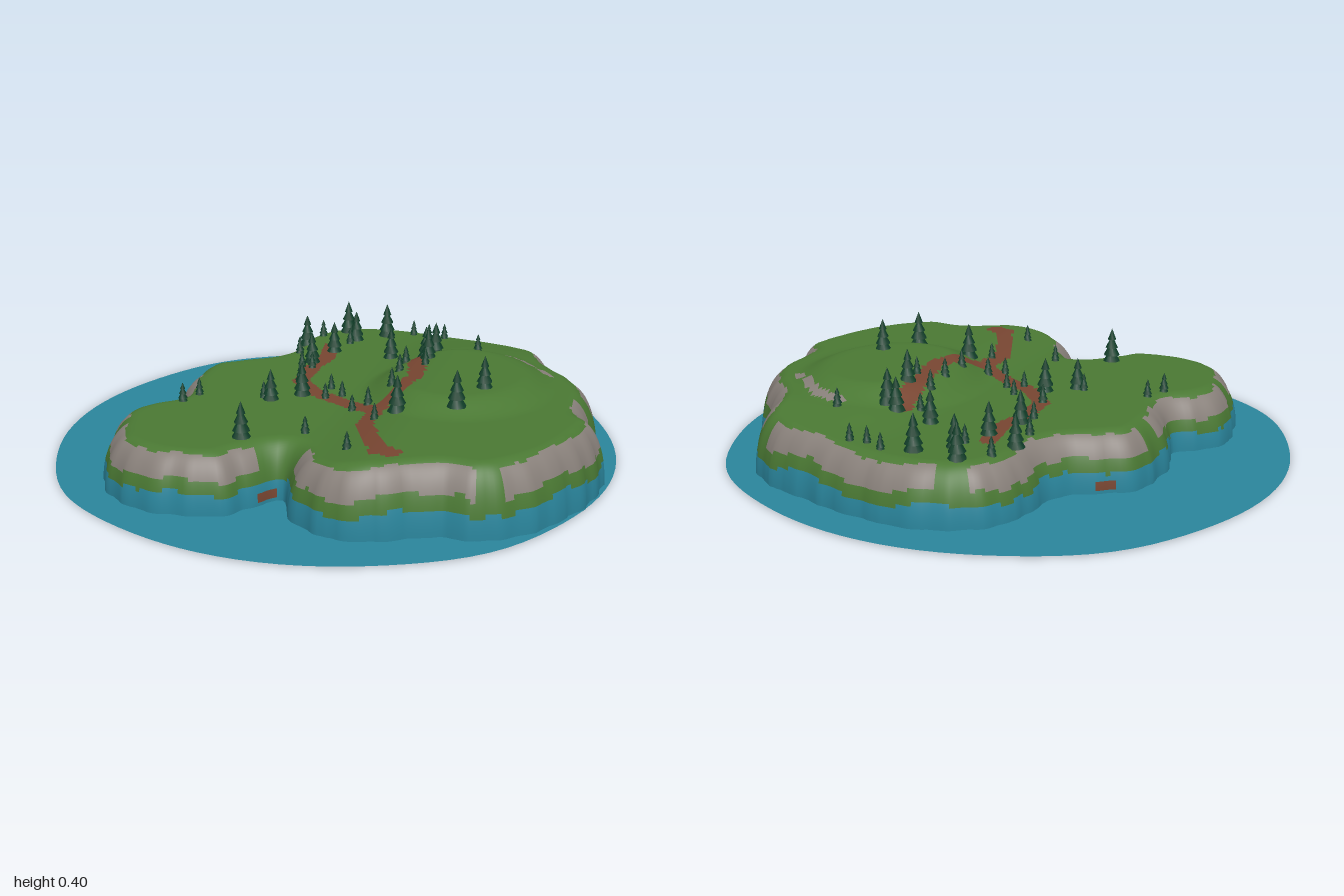
import * as THREE from 'three';
import { mergeGeometries } from 'three/addons/utils/BufferGeometryUtils.js';

const mat = (name, color, side = THREE.DoubleSide) => {
  const m = new THREE.MeshStandardMaterial({ color, side });
  m.name = name;
  return m;
};

const smooth = THREE.MathUtils.smoothstep;
const hash = n => { const s = Math.sin(n * 127.1 + 3.7) * 43758.5453; return s - Math.floor(s); };

// Shoreline, clockwise from the back left (x, z)
const SHORE = [
  [-0.28, -0.76], [-0.16, -0.83], [0.03, -0.86], [0.27, -0.82], [0.49, -0.76], [0.65, -0.66], [0.71, -0.51],
  [0.83, -0.37], [0.91, -0.21], [0.93, 0.0], [0.98, 0.08], [0.96, 0.24], [0.87, 0.47], [0.69, 0.65],
  [0.54, 0.66], [0.38, 0.75], [0.2, 0.77], [0.06, 0.68], [-0.01, 0.55], [-0.1, 0.64], [-0.18, 0.73],
  [-0.4, 0.76], [-0.58, 0.68], [-0.68, 0.48], [-0.7, 0.37], [-0.65, 0.25], [-0.57, 0.16], [-0.61, 0],
  [-0.6, -0.21], [-0.51, -0.3], [-0.38, -0.41], [-0.36, -0.61],
];
// Footpaths and exposed rock ledges on the plateau
const PATHS = [
  [[-0.18, -0.5], [-0.15, -0.35], [-0.17, -0.24], [-0.16, -0.07], [-0.07, 0.03], [0.06, 0.1], [0.2, 0.18]],
  [[0.21, -0.4], [0.24, -0.21], [0.28, -0.05], [0.24, 0.11], [0.2, 0.18], [0.2, 0.32], [0.27, 0.48], [0.35, 0.58]],
  [[0.31, 0.57], [0.37, 0.58]],
];
const LEDGES = [
  [[0.41, -0.48], [0.52, -0.45], [0.59, -0.4], [0.64, -0.35]],
  [[0.68, -0.33], [0.71, -0.3]],
];
const BIG_TREES = [
  [-0.17, -0.69], [-0.01, -0.69], [-0.11, -0.6], [-0.28, -0.5], [-0.15, -0.44], [0.08, -0.43], [0.22, -0.42],
  [0.26, -0.41], [0.27, -0.26], [-0.19, -0.29], [0.54, 0.01], [0.48, 0.17], [0.28, 0.2], [-0.11, 0.06],
  [-0.2, 0.14], [-0.17, 0.51],
];
const SMALL_TREES = [
  [0.09, -0.73], [0.16, -0.7], [0.22, -0.71], [-0.25, -0.61], [-0.12, -0.55], [-0.27, -0.38], [0.16, -0.36],
  [0.4, -0.51], [0.19, -0.24], [0.28, -0.18], [-0.21, -0.23], [-0.17, -0.23], [0.2, -0.12], [-0.16, -0.06],
  [-0.03, -0.03], [0.03, 0.03], [0.21, 0.02], [-0.02, 0.07], [0.15, 0.11], [0.11, 0.17], [-0.23, 0.13],
  [-0.46, 0.17], [-0.49, 0.25], [0.22, 0.27], [0.02, 0.41], [0.21, 0.55],
];

// Plateau height: low west, raised east terrace, round hill
function height(x, z) {
  const terrace = smooth(x, 0.05, 0.35) * smooth(z, -0.8, -0.45);
  const hill = 1 - smooth(Math.hypot((x - 0.42) / 0.9, z + 0.12), 0.24, 0.39);
  return 0.2 + 0.037 * terrace + 0.045 * hill;
}

function nearLine(lines, x, z, width) {
  return lines.some(line => line.slice(1).some(([bx, bz], k) => {
    const [ax, az] = line[k], dx = bx - ax, dz = bz - az;
    const t = THREE.MathUtils.clamp(((x - ax) * dx + (z - az) * dz) / (dx * dx + dz * dz), 0, 1);
    return Math.hypot(x - ax - t * dx, z - az - t * dz) < width;
  }));
}

const COLS = 320, WALL = 20, TOP = 44, INSET = 0.11;

// Sampled shoreline with a slight rocky ripple, and smoothed inward directions
function shoreline() {
  const curve = new THREE.CatmullRomCurve3(SHORE.map(([x, z]) => new THREE.Vector3(x, 0, z)), true, 'centripetal');
  const pts = curve.getSpacedPoints(COLS).slice(0, COLS);
  const at = i => pts[(i + COLS) % COLS];
  const inward = pts.map((p, i) => {
    const t = new THREE.Vector3();
    for (let k = 1; k <= 7; k++) t.add(at(i + k)).sub(at(i - k));
    return new THREE.Vector3(-t.z, 0, t.x).normalize();
  });
  const base = pts.map((p, i) =>
    p.clone().addScaledVector(inward[i], 0.004 * (Math.sin(i * 0.9) + Math.sin(i * 0.37) + hash(i) - 0.5)));
  const rim = pts.map((p, i) => p.clone().addScaledVector(inward[i], INSET));
  return { base, rim };
}

// Cliff walls curve up to the rim, then rings close the plateau
function buildTerrain({ base, rim }, mats) {
  const pos = [], rows = WALL + TOP;
  for (let r = 0; r <= rows; r++) {
    for (let i = 0; i < COLS; i++) {
      const b = base[i], m = rim[i];
      if (r <= WALL) {
        const a = (r / WALL) * Math.PI / 2, s = 1 - Math.cos(a);
        pos.push(b.x + (m.x - b.x) * s, height(m.x, m.z) * Math.sin(a), b.z + (m.z - b.z) * s);
      } else {
        const k = Math.max(1 - (r - WALL) / TOP, 0.002);
        const x = 0.02 + (m.x - 0.02) * k, z = m.z * k;
        pos.push(x, height(x, z), z);
      }
    }
  }

  // Material slots: 0 grass, 1 water stain, 2 rock, 3 earth
  const faces = [[], [], [], []];
  const wallSlot = (r, i) => {
    const f = Math.sin(((r + 0.5) / WALL) * Math.PI / 2);
    const n = 0.5 * Math.sin(i * Math.PI * 22 / COLS) + (hash(Math.floor(i / 3)) - 0.5);
    const gap = Math.sin(i * Math.PI * 14 / COLS + 1) + 0.6 * Math.sin(i * Math.PI * 38 / COLS);
    if (i % 97 > 92 && f > 0.08 && f < 0.25) return 3;
    if (f < 0.38 + 0.09 * n) return 1;
    if (gap < 1.05 && f > 0.6 + 0.08 * n && f < 0.945 + 0.04 * n) return 2;
    return 0;
  };
  for (let r = 0; r < rows; r++) {
    for (let i = 0; i < COLS; i++) {
      const j = (i + 1) % COLS;
      const a = r * COLS + i, b = r * COLS + j, c = a + COLS, d = b + COLS;
      let slot = 0;
      if (r < WALL) slot = wallSlot(r, i);
      else {
        const x = (pos[a * 3] + pos[d * 3]) / 2, z = (pos[a * 3 + 2] + pos[d * 3 + 2]) / 2;
        if (nearLine(PATHS, x, z, 0.031)) slot = 3;
        else if (nearLine(LEDGES, x, z, 0.018)) slot = 2;
      }
      faces[slot].push(a, c, b, b, c, d);
    }
  }
  const geo = new THREE.BufferGeometry();
  geo.setAttribute('position', new THREE.Float32BufferAttribute(pos, 3));
  geo.setIndex(faces.flat());
  let start = 0;
  faces.forEach((list, slot) => { geo.addGroup(start, list.length, slot); start += list.length; });
  geo.computeVertexNormals();
  const mesh = new THREE.Mesh(geo, mats);
  mesh.name = 'islandTerrain';
  return mesh;
}

// Flat sea around the island, open underneath it
function buildSea(base, material) {
  const edge = [];
  for (let i = 0; i < 96; i++) {
    const a = (i / 96) * Math.PI * 2, r = 1 + 0.02 * Math.sin(2 * a) ** 8;
    edge.push(new THREE.Vector2(Math.cos(a) * r, Math.sin(a) * r));
  }
  const shape = new THREE.Shape(edge);
  shape.holes.push(new THREE.Path(base.map(p => new THREE.Vector2(p.x, -p.z))));
  const sea = new THREE.Mesh(new THREE.ShapeGeometry(shape).rotateX(-Math.PI / 2), material);
  sea.position.y = 0.004;
  sea.name = 'sea';
  return sea;
}

// Conifer of stacked cones, one unit tall
function treeGeometry() {
  const tiers = [[0.27, 0.45, 0], [0.23, 0.42, 0.22], [0.18, 0.36, 0.44], [0.12, 0.32, 0.68]];
  return mergeGeometries(tiers.map(([r, h, y], k) =>
    new THREE.ConeGeometry(r, h, 9).rotateY(k * 0.35).translate(0, y + h / 2, 0)));
}

export function createModel() {
  const model = new THREE.Group();
  model.name = 'island';
  const grass = mat('grass green', 0x4a7833), water = mat('water blue', 0x2a859c);
  const rock = mat('rock grey', 0x88807a), earth = mat('earth brown', 0x774531);
  const needles = mat('conifer green', 0x0f3d28, THREE.FrontSide);

  const shore = shoreline();
  model.add(buildTerrain(shore, [grass, water, rock, earth]), buildSea(shore.base, water));

  const forest = new THREE.Group();
  forest.name = 'forest';
  const treeGeo = treeGeometry();
  const plant = (list, name, size) => list.forEach(([x, z], i) => {
    const tree = new THREE.Mesh(treeGeo, needles);
    tree.name = name;
    tree.scale.setScalar(size * (0.93 + 0.16 * hash(i + size)));
    tree.position.set(x, height(x, z) - 0.006, z);
    tree.rotation.y = i * 1.3;
    forest.add(tree);
  });
  plant(BIG_TREES, 'tallTree', 0.127);
  plant(SMALL_TREES, 'smallTree', 0.068);
  model.add(forest);
  return model;
}
